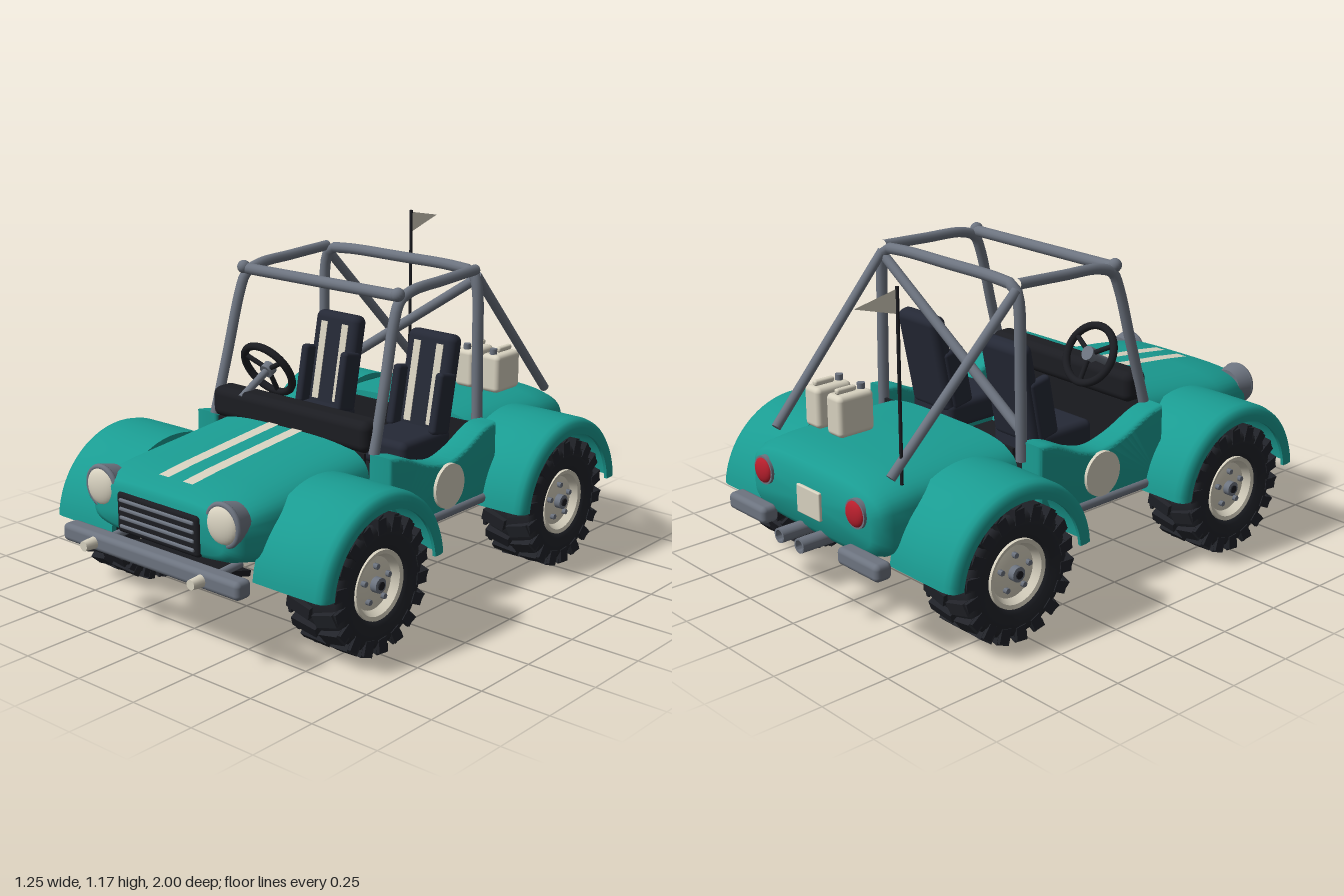
import * as THREE from 'three';
import { mergeGeometries, toCreasedNormals } from 'three/addons/utils/BufferGeometryUtils.js';
import { RoundedBoxGeometry } from 'three/addons/geometries/RoundedBoxGeometry.js';

const mat = (color, side = THREE.FrontSide) => new THREE.MeshStandardMaterial({ color, side });
const teal = mat(0x1a9c92), tealThin = mat(0x1a9c92, THREE.DoubleSide), steel = mat(0x6d7480);
const black = mat(0x1c1d22), navy = mat(0x252936), cream = mat(0xd8d2c0), red = mat(0xb81f2d);
const creamThin = mat(0xd8d2c0, THREE.DoubleSide), rubber = mat(0x212329);
const V = (x, y, z) => new THREE.Vector3(x, y, z);

function add(parent, name, geo, material, x = 0, y = 0, z = 0) {
  const m = new THREE.Mesh(geo, material);
  m.name = name;
  m.position.set(x, y, z);
  parent.add(m);
  return m;
}
const rbox = (w, h, d, r) => new RoundedBoxGeometry(w, h, d, 3, r);
const cylX = (r, len, n = 28) => new THREE.CylinderGeometry(r, r, len, n).rotateZ(Math.PI / 2);
const cylZ = (r0, r1, len, n = 28) => new THREE.CylinderGeometry(r0, r1, len, n).rotateX(Math.PI / 2);

// Straight capped bar between two points
function bar(parent, name, a, b, r, material = steel) {
  const m = add(parent, name, new THREE.CylinderGeometry(r, r, a.distanceTo(b), 14), material);
  m.position.copy(a).lerp(b, 0.5);
  m.quaternion.setFromUnitVectors(V(0, 1, 0), b.clone().sub(a).normalize());
  return m;
}
const pipe = (parent, name, pts, r) =>
  add(parent, name, new THREE.TubeGeometry(new THREE.CatmullRomCurve3(pts), 48, r, 12), steel);

// Closed hull through stations [z, halfWidth, bottom, top], front to back
function loft(stations) {
  const n = 48, pos = [], idx = [];
  const pw = (v, e) => Math.sign(v) * Math.abs(v) ** e;
  for (const [z, w, yb, yt] of stations) {
    const ym = yb + (yt - yb) * 0.5;
    for (let j = 0; j < n; j++) {
      const t = (j / n) * Math.PI * 2, s = Math.sin(t), e = s > 0 ? 0.55 : 0.45;
      pos.push(w * pw(Math.cos(t), e), ym + (s > 0 ? yt - ym : ym - yb) * pw(s, e), z);
    }
  }
  const last = stations.length - 1;
  for (let i = 0; i < last; i++) for (let j = 0; j < n; j++) {
    const a = i * n + j, b = i * n + (j + 1) % n;
    idx.push(a, a + n, b, b, a + n, b + n);
  }
  for (const i of [0, last]) {
    const c = pos.length / 3, [z, , yb, yt] = stations[i];
    pos.push(0, (yb + yt) / 2, z);
    for (let j = 0; j < n; j++) {
      const a = i * n + j, b = i * n + (j + 1) % n;
      i === 0 ? idx.push(c, a, b) : idx.push(c, b, a);
    }
  }
  const g = new THREE.BufferGeometry();
  g.setAttribute('position', new THREE.Float32BufferAttribute(pos, 3));
  g.setIndex(idx);
  return toCreasedNormals(g, 0.75);
}

function makeWheel(name) {
  const w = new THREE.Group();
  w.name = name;
  const profile = [[0.118, -0.08], [0.135, -0.098], [0.19, -0.1], [0.214, -0.085], [0.219, 0],
    [0.214, 0.085], [0.19, 0.1], [0.135, 0.098], [0.118, 0.08]].map(p => new THREE.Vector2(...p));
  add(w, 'tyre', new THREE.LatheGeometry(profile, 48).rotateZ(-Math.PI / 2), mat(0x212329, THREE.DoubleSide));
  // Chevron tread: two slanted lugs per step, each wrapping onto the sidewall
  const lugs = [], count = 18;
  for (let k = 0; k < count; k++) for (const s of [-1, 1]) {
    const a = (k + (s > 0 ? 0.25 : 0)) / count * Math.PI * 2;
    lugs.push(new THREE.BoxGeometry(0.094, 0.03, 0.044).rotateY(s * 0.3).translate(s * 0.053, 0.22, 0).rotateX(a));
    lugs.push(new THREE.BoxGeometry(0.012, 0.05, 0.04).translate(s * 0.097, 0.203, s * -0.014).rotateX(a));
  }
  add(w, 'treadLugs', mergeGeometries(lugs), rubber);
  // Dished rim, hub and nuts
  const dish = [[0, 0.07], [0.05, 0.072], [0.09, 0.062], [0.104, 0.088], [0.118, 0.092], [0.121, 0.07],
    [0.121, -0.085], [0.1, -0.085], [0.09, -0.06], [0, -0.06]].map(p => new THREE.Vector2(...p));
  add(w, 'rim', toCreasedNormals(new THREE.LatheGeometry(dish, 40).rotateZ(-Math.PI / 2), 0.6), creamThin);
  add(w, 'hub', cylX(0.026, 0.05, 20), steel, 0.07);
  add(w, 'hubCap', cylX(0.014, 0.06, 12), black, 0.07);
  for (let k = 0; k < 5; k++) {
    const a = k / 5 * Math.PI * 2;
    add(w, 'wheelNut', cylX(0.01, 0.02, 6), steel, 0.074, Math.cos(a) * 0.062, Math.sin(a) * 0.062);
  }
  return w;
}

function makeSeat(x) {
  const s = new THREE.Group();
  s.name = 'seat';
  s.position.x = x;
  add(s, 'cushion', rbox(0.22, 0.1, 0.27, 0.025), navy, 0, 0.495, -0.08);
  const back = new THREE.Group();
  back.name = 'seatBack';
  back.position.set(0, 0.69, -0.22);
  back.rotation.x = -0.2;
  add(back, 'backPad', rbox(0.21, 0.37, 0.065, 0.028), navy);
  for (const e of [-1, 1]) {
    add(back, 'bolster', rbox(0.035, 0.22, 0.09, 0.014), navy, e * 0.095, -0.06, 0.035);
    add(back, 'seatStripe', new THREE.BoxGeometry(0.03, 0.29, 0.004), cream, e * 0.05, 0, 0.033);
  }
  s.add(back);
  return s;
}

export function createModel() {
  const car = new THREE.Group();
  car.name = 'buggy';

  // Hood and tail hulls
  const hood = [[0.895, 0.29, 0.36, 0.5], [0.885, 0.32, 0.345, 0.52], [0.85, 0.345, 0.33, 0.537],
    [0.7, 0.36, 0.29, 0.557], [0.5, 0.362, 0.28, 0.578], [0.28, 0.365, 0.28, 0.6]];
  add(car, 'hood', loft(hood), teal);
  add(car, 'tail', loft([[-0.33, 0.365, 0.28, 0.565], [-0.5, 0.367, 0.28, 0.567], [-0.75, 0.365, 0.28, 0.56],
    [-0.85, 0.36, 0.282, 0.55], [-0.89, 0.345, 0.295, 0.53], [-0.91, 0.315, 0.32, 0.5]]), teal);
  const hoodTop = z => {
    const i = Math.max(1, hood.findIndex(h => h[0] <= z)), [a, b] = [hood[i - 1], hood[i]];
    return a[3] + (b[3] - a[3]) * (z - a[0]) / (b[0] - a[0]);
  };
  for (const s of [-1, 1]) {
    const g = new THREE.PlaneGeometry(0.046, 0.53, 1, 20).rotateX(-Math.PI / 2).translate(s * 0.055, 0, 0.55);
    const p = g.attributes.position;
    for (let i = 0; i < p.count; i++) p.setY(i, hoodTop(Math.min(p.getZ(i), 0.84)) + 0.003);
    g.computeVertexNormals();
    add(car, 'hoodStripe', g, creamThin);
  }

  // Cockpit tub
  add(car, 'floor', new THREE.BoxGeometry(0.76, 0.04, 0.62), black, 0, 0.3, -0.025);
  add(car, 'rearBulkhead', new THREE.BoxGeometry(0.68, 0.23, 0.012), black, 0, 0.425, -0.326);
  add(car, 'frontBulkhead', new THREE.BoxGeometry(0.68, 0.26, 0.012), black, 0, 0.44, 0.275);
  add(car, 'dashboard', rbox(0.72, 0.11, 0.1, 0.03), black, 0, 0.625, 0.245);
  const side = new THREE.Shape();
  side.moveTo(0.265, 0.31);
  side.lineTo(0.265, 0.56);
  side.splineThru([[0.2, 0.545], [0.08, 0.495], [-0.03, 0.473], [-0.13, 0.495], [-0.24, 0.545], [-0.3, 0.555]]
    .map(p => new THREE.Vector2(...p)));
  side.lineTo(-0.3, 0.31);
  const sideGeo = toCreasedNormals(new THREE.ExtrudeGeometry(side, { depth: 0.06, bevelThickness: 0.02,
    bevelSize: 0.014, bevelSegments: 4, curveSegments: 24 }).rotateY(-Math.PI / 2), 0.6);

  for (const s of [-1, 1]) {
    add(car, 'sidePanel', sideGeo, teal, s > 0 ? 0.435 : -0.375);
    add(car, 'roundel', cylX(0.08, 0.016, 40), cream, s * 0.459, 0.405, -0.03);
    bar(car, 'sillBar', V(s * 0.45, 0.305, 0.24), V(s * 0.45, 0.305, -0.28), 0.018);
    car.add(makeSeat(s * 0.22));

    for (const z of [0.5, -0.54]) {
      // Fender: part-turn shell with a rolled outer lip
      const prof = [[0.29, 0.33], [0.31, 0.33], [0.311, 0.45], [0.31, 0.59], [0.305, 0.61], [0.293, 0.622],
        [0.275, 0.625], [0.252, 0.622], [0.252, 0.61], [0.28, 0.6], [0.29, 0.58], [0.29, 0.33]];
      const fender = new THREE.LatheGeometry(prof.map(([r, x]) => new THREE.Vector2(r, x * s)), 40,
        Math.PI + 0.1, Math.PI - 0.2).rotateZ(-Math.PI / 2);
      add(car, 'fender', toCreasedNormals(fender, 0.7), tealThin, 0, 0.245, z);
      const wheel = makeWheel('wheel');
      wheel.position.set(s * 0.503, 0.24, z);
      if (s < 0) wheel.rotation.y = Math.PI;
      car.add(wheel);
      // Suspension
      bar(car, 'axle', V(s * 0.2, 0.27, z), V(s * 0.47, 0.24, z), 0.018);
      for (const d of [-0.08, 0.08])
        bar(car, 'suspensionArm', V(s * 0.22, 0.262, z + d), V(s * 0.44, 0.225, z), 0.013);
      bar(car, 'shockAbsorber', V(s * 0.335, 0.4, z), V(s * 0.41, 0.24, z), 0.022, cream);
    }

    // Headlights
    add(car, 'headlightHousing', cylZ(0.076, 0.062, 0.06), steel, s * 0.28, 0.475, 0.85);
    add(car, 'headlightRing', new THREE.TorusGeometry(0.067, 0.01, 10, 36), steel, s * 0.28, 0.475, 0.882);
    add(car, 'headlightLens', new THREE.SphereGeometry(0.066, 28, 16).scale(1, 1, 0.42), cream, s * 0.28, 0.475, 0.882);
    // Bumper fittings
    add(car, 'bumperLamp', cylZ(0.017, 0.021, 0.05, 16), cream, s * 0.25, 0.305, 0.975);
    bar(car, 'bumperBracket', V(s * 0.25, 0.3, 0.92), V(s * 0.25, 0.31, 0.78), 0.014);
    add(car, 'rearBumper', rbox(0.21, 0.06, 0.065, 0.018), steel, s * 0.305, 0.305, -0.93);
    bar(car, 'rearBumperBracket', V(s * 0.27, 0.31, -0.93), V(s * 0.27, 0.32, -0.8), 0.014);
    // Tail lights
    add(car, 'tailLightRing', cylZ(0.05, 0.05, 0.03), steel, s * 0.25, 0.45, -0.905);
    add(car, 'tailLight', new THREE.SphereGeometry(0.044, 24, 14).scale(1, 1, 0.4), red, s * 0.25, 0.45, -0.918);
    // Exhaust
    const ex = [[0.026, 0], [0.026, 0.26], [0.019, 0.26], [0.019, 0.03], [0, 0.03]].map(p => new THREE.Vector2(...p));
    add(car, 'exhaustPipe', toCreasedNormals(new THREE.LatheGeometry(ex, 20).rotateX(-Math.PI / 2), 0.6),
      mat(0x6d7480, THREE.DoubleSide), s * 0.055, 0.3, -0.74);

    // Roll cage sides
    pipe(car, 'cageSide', [V(s * 0.37, 0.57, 0.265), V(s * 0.362, 0.8, 0.2), V(s * 0.354, 1.0, 0.145),
      V(s * 0.352, 1.06, 0.115), V(s * 0.35, 1.085, 0.05), V(s * 0.348, 1.093, -0.12), V(s * 0.345, 1.1, -0.315)], 0.019);
    add(car, 'cageJoint', new THREE.SphereGeometry(0.024, 16, 12), steel, s * 0.352, 1.085, 0.125);
    bar(car, 'cageRearBrace', V(s * 0.345, 1.08, -0.32), V(s * 0.31, 0.56, -0.82), 0.017);
  }

  // Roll cage cross members
  pipe(car, 'cageHoop', [V(-0.365, 0.5, -0.315), V(-0.36, 0.8, -0.315), V(-0.35, 1.05, -0.315),
    V(-0.33, 1.088, -0.315), V(-0.25, 1.1, -0.315), V(0, 1.102, -0.315), V(0.25, 1.1, -0.315),
    V(0.33, 1.088, -0.315), V(0.35, 1.05, -0.315), V(0.36, 0.8, -0.315), V(0.365, 0.5, -0.315)], 0.02);
  bar(car, 'cageFrontBar', V(-0.36, 1.08, 0.12), V(0.36, 1.08, 0.12), 0.02);
  bar(car, 'cageDiagonal', V(0.335, 1.06, -0.315), V(-0.355, 0.61, -0.315), 0.018);

  // Grille
  add(car, 'grilleFrame', rbox(0.38, 0.14, 0.03, 0.014), black, 0, 0.415, 0.89);
  for (let i = 0; i < 4; i++)
    add(car, 'grilleBar', rbox(0.345, 0.013, 0.012, 0.005), steel, 0, 0.37 + i * 0.03, 0.905);

  // Front bumper and skid plate
  add(car, 'frontBumper', rbox(0.82, 0.062, 0.065, 0.018), steel, 0, 0.305, 0.923);
  const skid = add(car, 'skidPlate', new THREE.BoxGeometry(0.44, 0.02, 0.2), black, 0, 0.27, 0.8);
  skid.rotation.x = -0.25;

  // Steering wheel, built around its own axis
  const steer = new THREE.Group();
  steer.name = 'steeringWheel';
  steer.position.set(-0.22, 0.735, 0.145);
  steer.rotation.x = 0.5;
  add(steer, 'steeringRim', new THREE.TorusGeometry(0.105, 0.014, 12, 40), black);
  add(steer, 'steeringHub', cylZ(0.026, 0.026, 0.03, 20), steel);
  for (let k = 0; k < 3; k++) {
    const a = Math.PI / 6 + k * Math.PI * 2 / 3;
    bar(steer, 'steeringSpoke', V(0, 0, 0), V(Math.cos(a) * 0.1, Math.sin(a) * 0.1, 0), 0.009, black);
  }
  bar(steer, 'steeringColumn', V(0, 0, 0), V(0, 0, 0.16), 0.014);
  car.add(steer);

  // Fuel cans on the tail deck
  for (const x of [0.087, 0.208]) {
    add(car, 'fuelCan', rbox(0.082, 0.145, 0.145, 0.018), cream, x, 0.64, -0.672);
    add(car, 'fuelCanHandle', rbox(0.022, 0.02, 0.08, 0.008), cream, x, 0.722, -0.69);
    add(car, 'fuelCanCap', new THREE.CylinderGeometry(0.014, 0.014, 0.025, 14), steel, x, 0.72, -0.625);
  }

  // Rear plate and pennant
  add(car, 'rearPlate', rbox(0.125, 0.1, 0.014, 0.005), cream, 0, 0.41, -0.914);
  bar(car, 'flagPole', V(-0.315, 0.53, -0.78), V(-0.315, 1.175, -0.78), 0.006, black);
  const flag = new THREE.Shape([[0, 1.168], [0.165, 1.135], [0, 1.088]].map(p => new THREE.Vector2(...p)));
  add(car, 'pennant', new THREE.ShapeGeometry(flag).rotateY(Math.PI / 2), creamThin, -0.315, 0, -0.78);

  return car;
}
